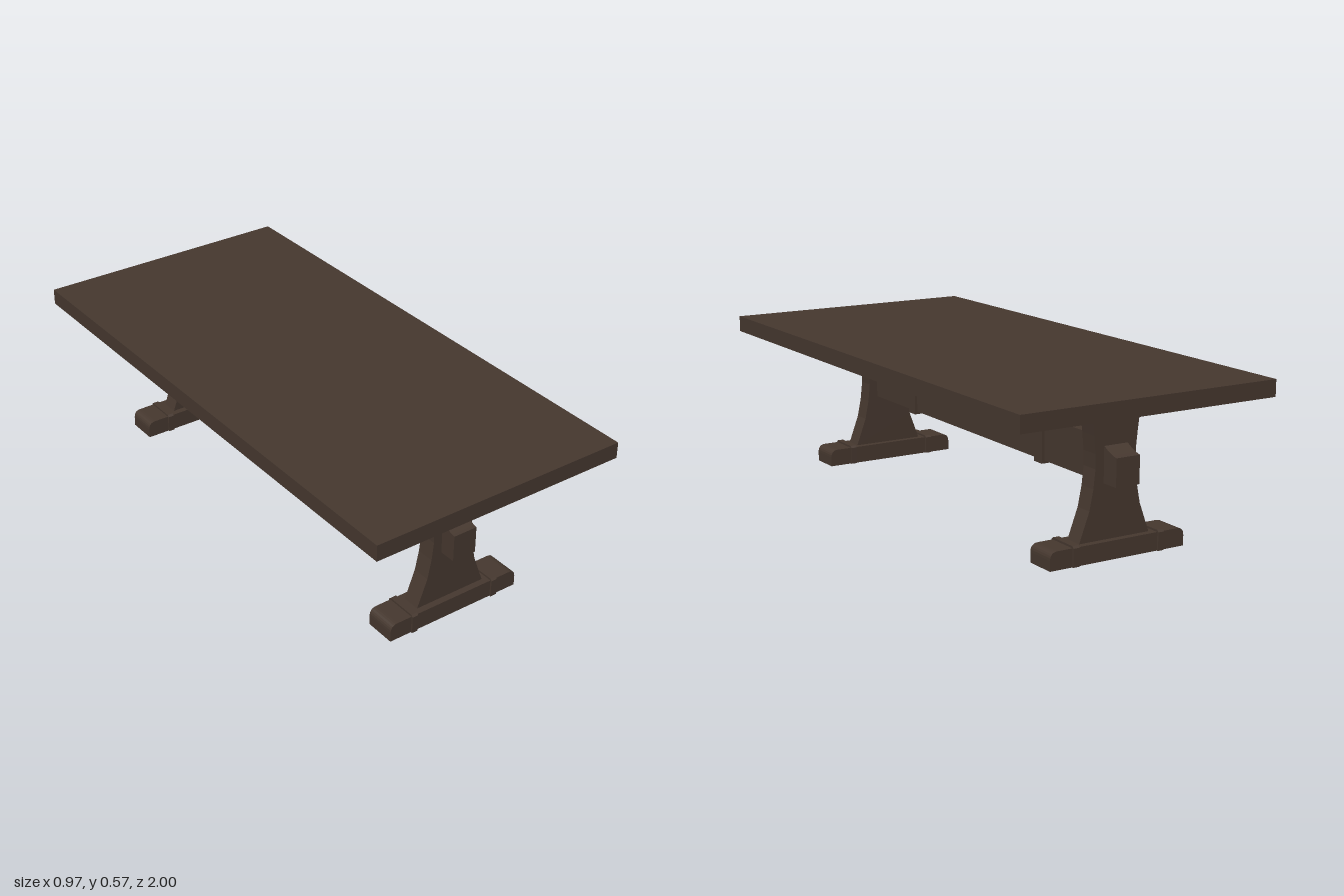
import * as THREE from 'three';

const AXIS_X = -0.019; // the trestle sits slightly off the table's centre line
const darkWood = new THREE.MeshStandardMaterial({ color: 0x46382f });
darkWood.name = 'darkWood';

function add(parent, name, geometry, x = 0, y = 0, z = 0) {
  const mesh = new THREE.Mesh(geometry, darkWood);
  mesh.name = name;
  mesh.position.set(x, y, z);
  parent.add(mesh);
  return mesh;
}

// Extrusion centred on its depth
function slab(shape, depth) {
  const g = new THREE.ExtrudeGeometry(shape, { depth, bevelEnabled: false, curveSegments: 6 });
  return g.translate(0, 0, -depth / 2);
}

// Bar with square corners at y0 and rounded corners at y1 (either way up)
function roundedBar(halfWidth, y0, y1, r) {
  const s = new THREE.Shape();
  const ry = Math.sign(y1 - y0) * r;
  s.moveTo(-halfWidth, y0);
  s.lineTo(halfWidth, y0);
  s.lineTo(halfWidth, y1 - ry);
  s.quadraticCurveTo(halfWidth, y1, halfWidth - r, y1);
  s.lineTo(-halfWidth + r, y1);
  s.quadraticCurveTo(-halfWidth, y1, -halfWidth, y1 - ry);
  return s;
}

// Waisted upright: half-widths by height, mirrored
function pedestalShape() {
  const side = [[0.138, 0.06], [0.099, 0.165], [0.085, 0.235], [0.078, 0.3],
    [0.079, 0.35], [0.085, 0.41], [0.092, 0.465]];
  const right = side.map(([x, y]) => new THREE.Vector2(x, y));
  const left = side.map(([x, y]) => new THREE.Vector2(-x, y)).reverse();
  return new THREE.Shape([...right, ...left]);
}

function makeTrestle() {
  const trestle = new THREE.Group();
  add(trestle, 'foot', slab(roundedBar(0.263, 0, 0.063, 0.028), 0.112));
  add(trestle, 'pedestal', slab(pedestalShape(), 0.065));
  add(trestle, 'topBracket', slab(roundedBar(0.217, 0.513, 0.461, 0.028), 0.112));
  // Raised bands around the foot, with chamfered upper corners
  const w = 0.062, h = 0.07, c = 0.007;
  const bandShape = new THREE.Shape([[-w, 0], [w, 0], [w, h - c], [w - c, h], [-w + c, h], [-w, h - c]]
    .map(([x, y]) => new THREE.Vector2(x, y)));
  for (const side of [-1, 1]) {
    add(trestle, 'footBand', slab(bandShape, 0.023).rotateY(-Math.PI / 2), side * 0.167, 0, 0);
  }
  return trestle;
}

// Long stretcher with scooped tenons passing through both pedestals
function stretcherShape() {
  const s = new THREE.Shape();
  s.moveTo(-0.85, 0.25);
  s.lineTo(0.86, 0.25);
  s.lineTo(0.86, 0.346);
  s.quadraticCurveTo(0.825, 0.352, 0.8, 0.372);
  s.lineTo(0.75, 0.372);
  s.lineTo(0.75, 0.398);
  s.lineTo(-0.74, 0.398);
  s.lineTo(-0.74, 0.372);
  s.lineTo(-0.785, 0.372);
  s.quadraticCurveTo(-0.815, 0.352, -0.85, 0.346);
  return s;
}

export function createModel() {
  const table = new THREE.Group();
  table.name = 'trestleTable';

  add(table, 'tableTop', new THREE.BoxGeometry(0.968, 0.058, 2), 0, 0.541, 0);

  for (const [name, z] of [['frontTrestle', 0.768], ['backTrestle', -0.751]]) {
    const trestle = makeTrestle();
    trestle.name = name;
    trestle.position.set(AXIS_X, 0, z);
    table.add(trestle);
  }

  add(table, 'stretcher', slab(stretcherShape(), 0.091).rotateY(-Math.PI / 2), AXIS_X, 0, 0);

  // Collars around the stretcher
  for (const z of [0.44, -0.422]) {
    add(table, 'stretcherCollar', new THREE.BoxGeometry(0.111, 0.17, 0.048), AXIS_X, 0.325, z);
  }
  return table;
}
